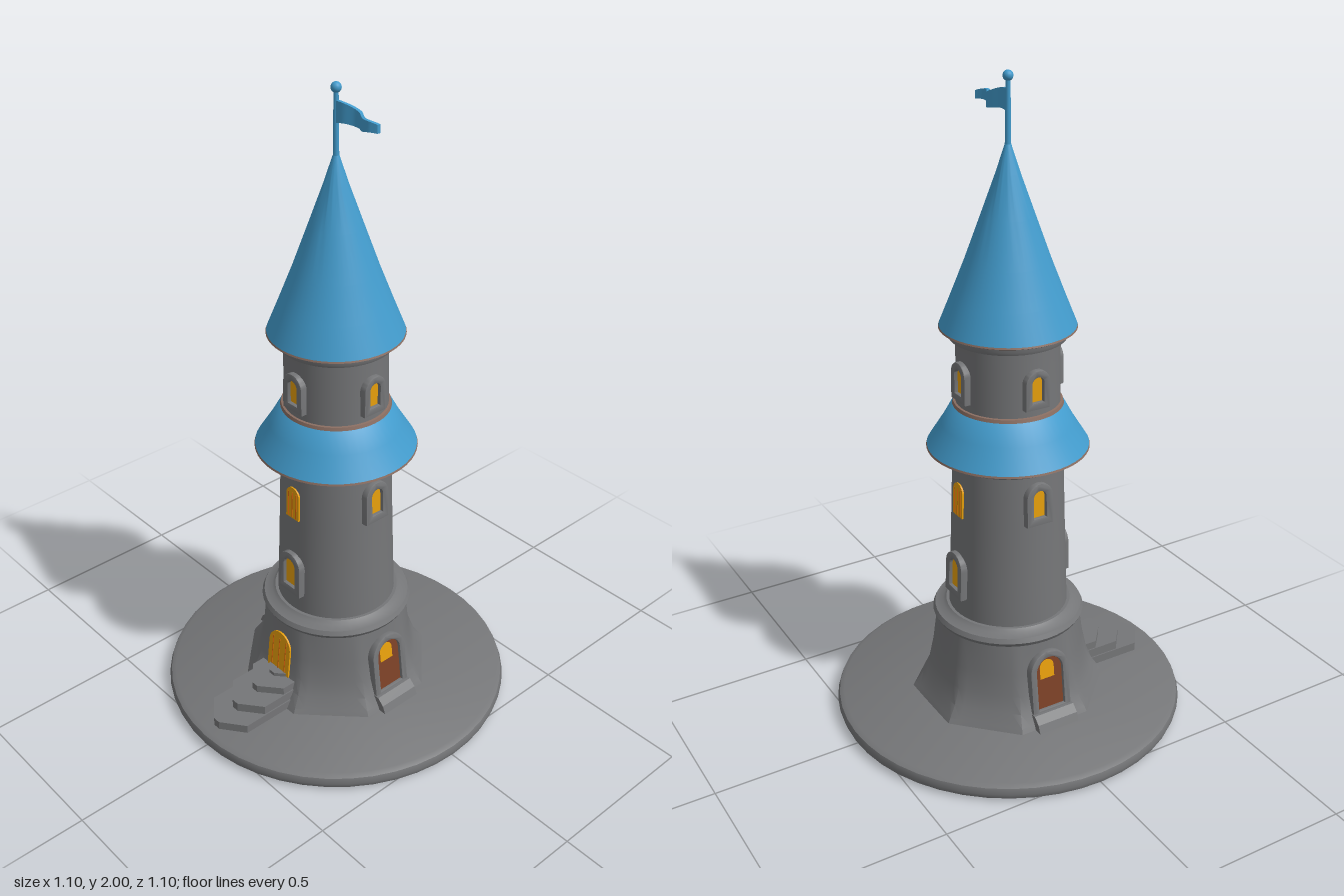
import * as THREE from 'three';
import { toCreasedNormals } from 'three/addons/utils/BufferGeometryUtils.js';

const material = (name, color) => {
  const m = new THREE.MeshStandardMaterial({ color });
  m.name = name;
  return m;
};

export function createModel() {
  const stone = material('stone', 0x757678);
  const roofBlue = material('roof blue', 0x429bcc);
  const glow = material('window glow', 0xe8a00c);
  const ember = material('window bars', 0xe0680c);
  const wood = material('door wood', 0x7c4127);
  const trim = material('eave trim', 0x8a6e62);

  const tower = new THREE.Group();
  tower.name = 'tower';

  const add = (parent, name, geometry, mat, x = 0, y = 0, z = 0) => {
    const mesh = new THREE.Mesh(geometry, mat);
    mesh.name = name;
    mesh.position.set(x, y, z);
    parent.add(mesh);
    return mesh;
  };
  // Turned part from [radius, height] pairs, listed from bottom to top
  const turned = (name, points, mat, sides = 48) => {
    const g = new THREE.LatheGeometry(points.map(([r, y]) => new THREE.Vector2(r, y)), sides);
    return add(tower, name, toCreasedNormals(g, 0.7), mat);
  };

  // Ground disc with a rounded rim
  turned('groundDisc', [[0, 0], [0.53, 0], [0.545, 0.008], [0.551, 0.025], [0.545, 0.042], [0.53, 0.05], [0, 0.05]], stone);

  // Flared foot: softly eight-sided at the ground, round at the top
  const foot = new THREE.LatheGeometry(
    [[0.29, 0.04], [0.278, 0.065], [0.258, 0.1], [0.243, 0.15], [0.233, 0.22], [0.224, 0.33]]
      .map(([r, y]) => new THREE.Vector2(r, y)), 64);
  const p = foot.attributes.position;
  for (let i = 0; i < p.count; i++) {
    const step = Math.PI / 4;
    const a = Math.atan2(p.getX(i), p.getZ(i)) + 4 * Math.PI + step / 2;
    const toCorner = 1 / Math.cos((a % step) - step / 2);
    const s = THREE.MathUtils.lerp(toCorner, 1, THREE.MathUtils.clamp((p.getY(i) - 0.04) / 0.29, 0, 1));
    p.setXYZ(i, p.getX(i) * s, p.getY(i), p.getZ(i) * s);
  }
  foot.computeVertexNormals();
  add(tower, 'flaredFoot', toCreasedNormals(foot, 0.6), stone);

  // Walls and stone rings
  turned('footRing', [[0.21, 0.315], [0.23, 0.32], [0.237, 0.333], [0.23, 0.347], [0.205, 0.352], [0.195, 0.362], [0.18, 0.362]], stone);
  turned('mainWall', [[0.186, 0.35], [0.18, 0.5], [0.173, 0.7], [0.168, 0.87]], stone);
  turned('mainRing', [[0.165, 0.86], [0.188, 0.864], [0.193, 0.875], [0.193, 0.9]], stone);
  turned('upperWall', [[0.157, 1.02], [0.154, 1.15], [0.154, 1.25]], stone);
  turned('upperRing', [[0.15, 1.24], [0.174, 1.244], [0.178, 1.254], [0.178, 1.278]], stone);

  // Roofs with undersides and thin eave trims
  turned('skirtRoof', [[0.244, 0.902], [0.2, 0.972], [0.168, 1.03], [0.152, 1.04]], roofBlue);
  turned('skirtRoofUnderside', [[0.16, 0.895], [0.24, 0.893]], stone);
  turned('skirtRoofTrim', [[0.24, 0.893], [0.246, 0.896], [0.244, 0.902]], trim);
  turned('skirtRoofTopTrim', [[0.166, 1.032], [0.163, 1.042], [0.15, 1.044]], trim);
  turned('spireRoof', [[0.201, 1.278], [0.166, 1.365], [0.125, 1.47], [0.078, 1.6], [0.035, 1.72], [0.009, 1.8]], roofBlue);
  turned('spireRoofUnderside', [[0.14, 1.272], [0.197, 1.27]], stone);
  turned('spireRoofTrim', [[0.197, 1.27], [0.203, 1.273], [0.201, 1.278]], trim);

  // Flagpole, finial and waving flag
  add(tower, 'flagpole', new THREE.CylinderGeometry(0.007, 0.009, 0.2, 12), roofBlue, 0, 1.88, 0);
  add(tower, 'finial', new THREE.SphereGeometry(0.015, 16, 12), roofBlue, 0, 1.985, 0);
  const flag = new THREE.BoxGeometry(0.155, 1, 0.01, 20, 1, 1);
  const f = flag.attributes.position;
  for (let i = 0; i < f.count; i++) {
    const t = f.getX(i) / 0.155 + 0.5;
    const height = THREE.MathUtils.lerp(0.062, 0.024, t);
    f.setY(i, 1.92 - 0.012 * t + f.getY(i) * height + 0.004 * Math.sin(t * 9));
    f.setZ(i, f.getZ(i) - 0.013 * (1 - Math.cos(t * 8)) * Math.min(1, t * 2) + 0.006 * t);
  }
  flag.computeVertexNormals();
  add(tower, 'flag', toCreasedNormals(flag, 0.7), roofBlue, 0.0775, 0, 0);

  // Arched outline of width w and height h, standing on y = 0
  const arch = (w, h, Kind = THREE.Shape, y0 = 0) => {
    const s = new Kind();
    const r = w / 2;
    s.moveTo(-r, y0);
    s.lineTo(r, y0);
    s.lineTo(r, y0 + h - r);
    s.absarc(0, y0 + h - r, r, 0, Math.PI, false);
    s.closePath();
    return s;
  };
  const extrude = (shape, depth, bevel = 0) => new THREE.ExtrudeGeometry(shape, {
    depth, curveSegments: 10, bevelEnabled: bevel > 0, bevelSize: bevel, bevelThickness: bevel, bevelSegments: 2,
  });

  // Opening on a wall: angle round the tower, sill height, wall radius, wall lean
  const opening = (name, angle, y, radius, lean, w, h, { frame = 0, bars = false, door = false }) => {
    const turn = new THREE.Group();
    turn.name = name;
    turn.rotation.y = angle;
    const g = new THREE.Group();
    g.position.set(0, y, radius);
    g.rotation.x = -lean;
    turn.add(g);
    tower.add(turn);
    add(g, 'pane', extrude(arch(w, h), 0.006), glow, 0, 0, -0.002);
    if (frame) {
      const shape = arch(w + 2 * frame, h + 2 * frame, THREE.Shape, -frame);
      shape.holes.push(arch(w, h, THREE.Path));
      add(g, 'frame', toCreasedNormals(extrude(shape, 0.03, 0.004), 0.5), stone, 0, 0, -0.018);
    }
    if (bars) {
      for (const k of [-0.3, 0, 0.3]) {
        add(g, 'bar', new THREE.BoxGeometry(0.003, h * 0.8, 0.003), ember, k * w, h * 0.44, 0.004);
      }
    }
    if (door) {
      // Wooden leaf with a glowing light in its upper half
      add(g, 'doorLeaf', extrude(arch(w, h), 0.004), wood, 0, 0, 0.002);
      add(g, 'doorLight', extrude(arch(w * 0.5, h * 0.35), 0.003), glow, -0.006, h * 0.58, 0.004);
    }
  };

  for (let i = 0; i < 4; i++) {
    const angle = i * Math.PI / 2;
    opening('upperWindow', angle, 1.085, 0.154, 0, 0.046, 0.085, { frame: 0.014 });
    if (i % 2 === 0) {
      opening('lowerWindow', angle, 0.445, 0.1815, 0.034, 0.058, 0.105, { frame: 0.016 });
      opening('plainWindow', angle, 0.695, 0.1735, 0.034, 0.056, 0.108, { bars: true });
    } else {
      opening('middleWindow', angle, 0.72, 0.1725, 0.034, 0.05, 0.095, { frame: 0.016 });
      opening('sideDoor', angle, 0.095, 0.253, 0.13, 0.1, 0.178, { frame: 0.014, door: true });
      // Low doorstep with a sloping front
      const step = new THREE.Shape();
      [[0.2, 0.04], [0.315, 0.04], [0.3, 0.075], [0.278, 0.095], [0.2, 0.095]]
        .forEach(([x, y], k) => (k ? step.lineTo(x, y) : step.moveTo(x, y)));
      const g = extrude(step, 0.14);
      g.translate(0, 0, -0.07);
      g.rotateY(angle - Math.PI / 2);
      add(tower, 'doorstep', g, stone);
    }
  }
  opening('frontDoor', 0, 0.135, 0.2465, 0.11, 0.1, 0.145, { bars: true });

  // Front stairs with pointed treads
  [[0.5, 0.078], [0.425, 0.108], [0.345, 0.133], [0.275, 0.145]].forEach(([tip, top], k) => {
    const w = 0.085 - k * 0.004;
    const tread = new THREE.Shape();
    [[-w, -0.2], [w, -0.2], [w, -(tip - 0.055)], [0.012, -tip], [-0.012, -tip], [-w, -(tip - 0.055)]]
      .forEach(([x, y], n) => (n ? tread.lineTo(x, y) : tread.moveTo(x, y)));
    const g = extrude(tread, top - 0.04);
    g.rotateX(-Math.PI / 2);
    add(tower, 'stair', g, stone, 0, 0.04, 0);
  });

  return tower;
}
